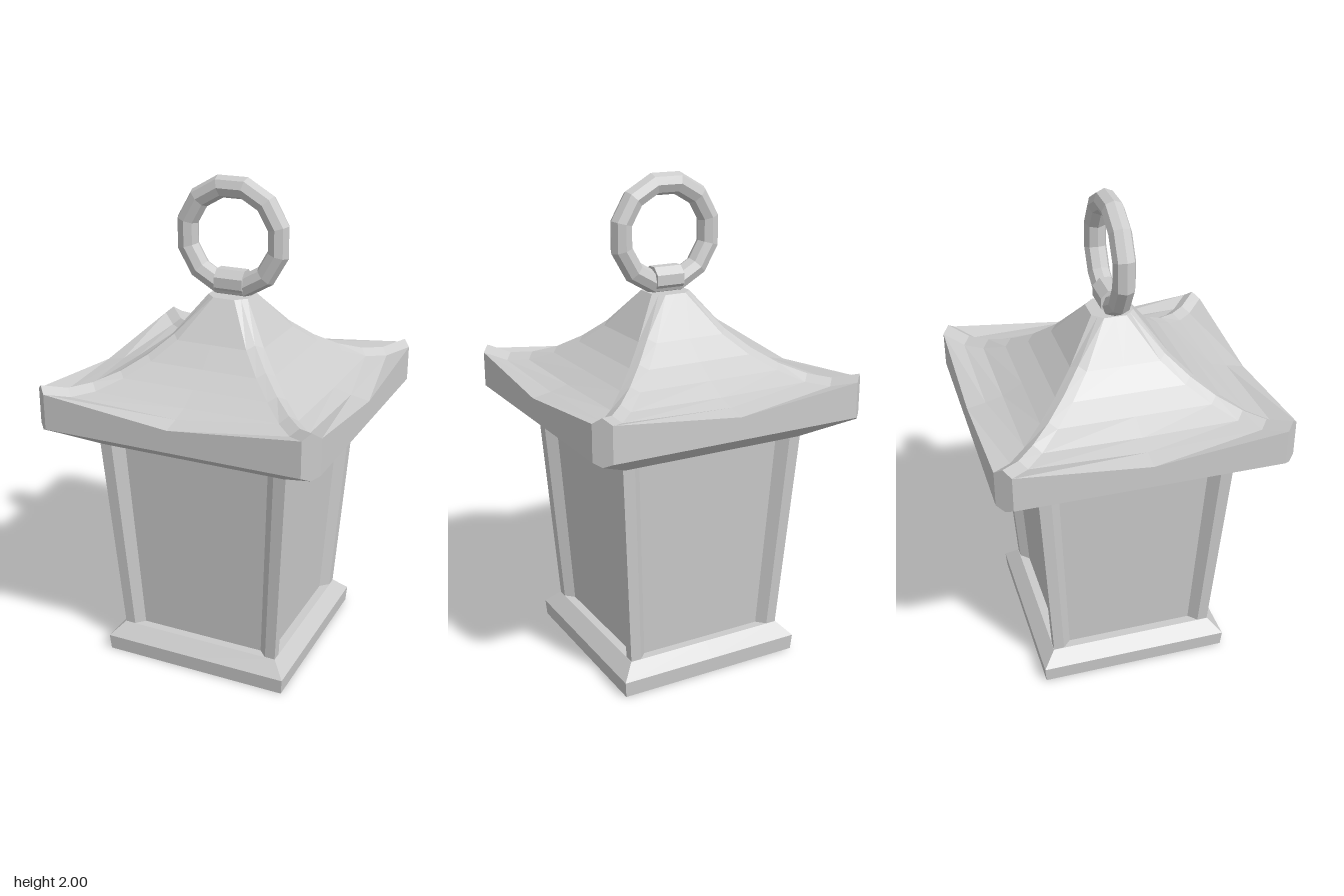
import * as THREE from 'three';

const material = new THREE.MeshStandardMaterial({ color: 0xcccccc, flatShading: true });

// Repeat the points of the front side [x, y, z] around all four sides
function fourSides(side) {
  const ring = [];
  for (let k = 0; k < 4; k++) {
    for (const p of side) {
      let [x, y, z] = p;
      for (let i = 0; i < k; i++) [x, z] = [z, -x];
      ring.push([x, y, z]);
    }
  }
  return ring;
}

// Skin a stack of equal rings (bottom to top) and close both ends
function loft(rings) {
  const pos = [];
  const n = rings[0].length;
  for (let i = 0; i < rings.length - 1; i++) {
    for (let j = 0; j < n; j++) {
      const k = (j + 1) % n;
      const a = rings[i][j], b = rings[i][k], c = rings[i + 1][k], d = rings[i + 1][j];
      pos.push(...a, ...b, ...c, ...a, ...c, ...d);
    }
  }
  const bottom = rings[0], top = rings[rings.length - 1];
  for (let j = 0; j < n; j++) {
    const k = (j + 1) % n;
    pos.push(0, bottom[0][1], 0, ...bottom[k], ...bottom[j]);
    pos.push(0, top[0][1], 0, ...top[j], ...top[k]);
  }
  const geometry = new THREE.BufferGeometry();
  geometry.setAttribute('position', new THREE.Float32BufferAttribute(pos, 3));
  geometry.computeVertexNormals();
  return geometry;
}

export function createModel() {
  const lantern = new THREE.Group();
  lantern.name = 'lantern';
  const add = (name, geometry) => {
    const mesh = new THREE.Mesh(geometry, material);
    mesh.name = name;
    lantern.add(mesh);
    return mesh;
  };

  // Square foot with a bevelled top edge: [half width, y]
  const foot = [[0.395, 0], [0.4, 0.065], [0.347, 0.12]];
  add('foot', loft(foot.map(([h, y]) => fourSides([[-h, y, h], [0, y, h]]))));

  // Flared body: corner posts with slanted inner sides and recessed panels
  const bodyRing = (y, s) => fourSides([
    [-0.345, y, 0.345], [-0.302, y, 0.345], [-0.268, y, 0.31],
    [0.268, y, 0.31], [0.302, y, 0.345],
  ].map(([x, h, z]) => [x * s, h, z * s]));
  add('body', loft([bodyRing(0.11, 1), bodyRing(0.98, 1.16)]));

  // Roof rings: [half width, corner cut, y mid-side, y beside ridge, y ridge crest]
  const roof = [
    [0.4, 0.01, 0.97, 0.97, 0.97],
    [0.585, 0.055, 1.08, 1.08, 1.065],
    [0.585, 0.055, 1.17, 1.225, 1.25],
    [0.51, 0.055, 1.185, 1.2, 1.225],
    [0.44, 0.055, 1.205, 1.21, 1.235],
    [0.36, 0.055, 1.25, 1.25, 1.268],
    [0.28, 0.055, 1.305, 1.305, 1.322],
    [0.2, 0.052, 1.38, 1.38, 1.395],
    [0.085, 0.04, 1.535, 1.535, 1.535],
  ];
  add('roof', loft(roof.map(([d, c, mid, edge, crest]) => fourSides([
    [-d + c / 2, crest, d - c / 2],
    [-d + c, edge, d],
    [0, mid, d],
    [d - c, edge, d],
  ]))));

  // Hanging ring and the collar that holds it to the roof
  const ring = add('hangingRing', new THREE.TorusGeometry(0.2, 0.045, 8, 12).rotateZ(Math.PI / 12));
  ring.position.y = 1.763;
  const collar = add('ringCollar', new THREE.CylinderGeometry(0.054, 0.054, 0.12, 8).rotateZ(Math.PI / 2).rotateX(Math.PI / 8));
  collar.position.y = 1.585;

  // The lantern hangs slightly turned
  lantern.rotation.y = -0.133;
  const model = new THREE.Group();
  model.name = 'lanternModel';
  model.add(lantern);
  return model;
}
